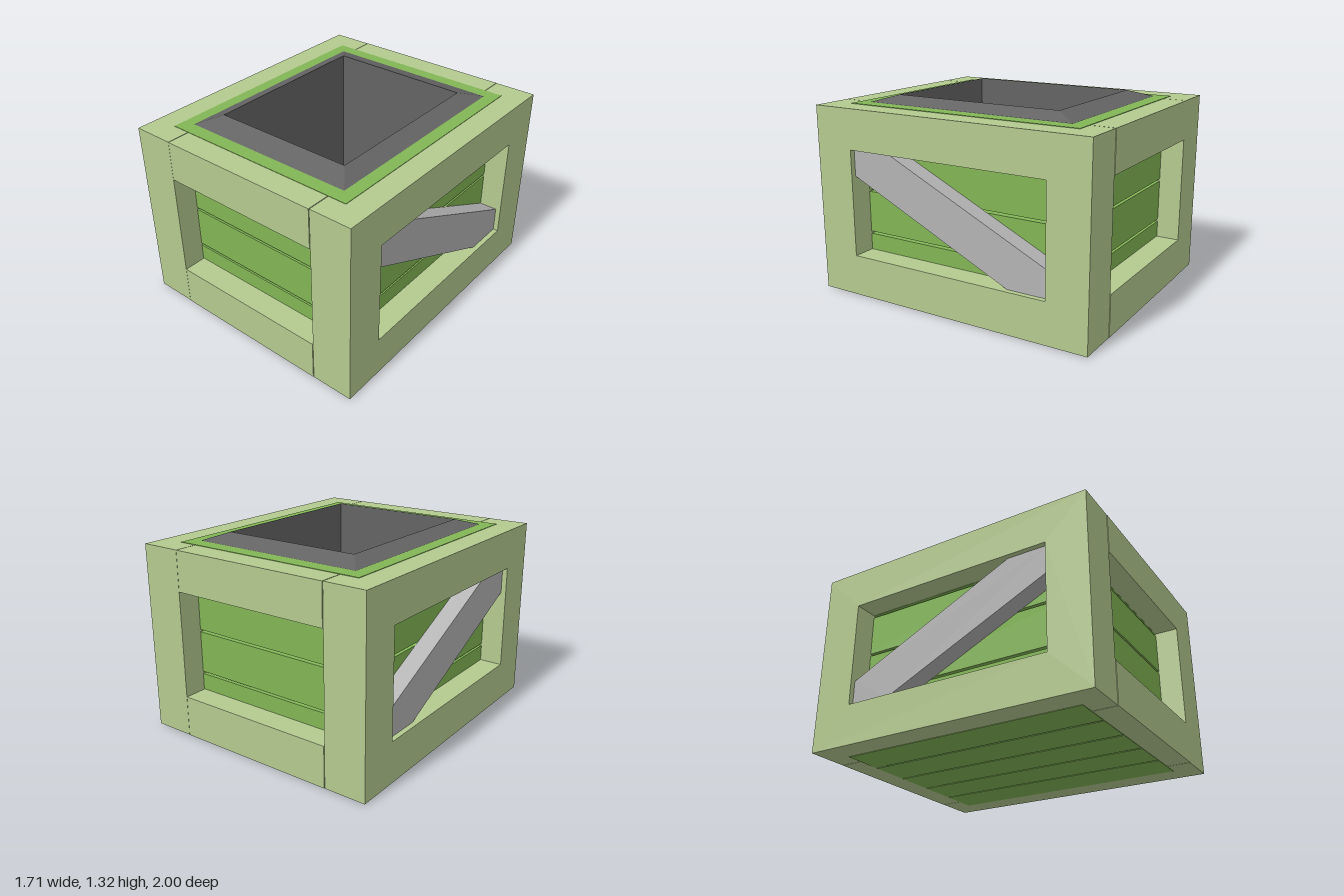
import * as THREE from 'three';

const paint = (color) => new THREE.MeshStandardMaterial({ color, flatShading: true });

// Sweeps a profile of [halfWidth, halfDepth, y] around a rectangle.
function rectangularSweep(profile) {
  const signs = [[1, 1], [1, -1], [-1, -1], [-1, 1]];
  const positions = [];
  for (let p = 0; p < profile.length - 1; p++) {
    for (let i = 0; i < 4; i++) {
      const corner = ([hx, hz, y], s) => [hx * s[0], y, hz * s[1]];
      const s0 = signs[i], s1 = signs[(i + 1) % 4];
      const a = corner(profile[p], s0), b = corner(profile[p], s1);
      const c = corner(profile[p + 1], s1), d = corner(profile[p + 1], s0);
      positions.push(...a, ...b, ...c, ...a, ...c, ...d);
    }
  }
  const geometry = new THREE.BufferGeometry();
  geometry.setAttribute('position', new THREE.Float32BufferAttribute(positions, 3));
  geometry.computeVertexNormals();
  return geometry;
}

export function createModel() {
  const model = new THREE.Group();
  const frameMaterial = paint(0xb4ca8f);
  const plankMaterial = paint(0x82b655);
  const linerMaterial = paint(0x646464);
  const braceMaterial = paint(0xb4b4b4);

  const add = (name, geometry, material, x = 0, y = 0, z = 0) => {
    const mesh = new THREE.Mesh(geometry, material);
    mesh.name = name;
    mesh.position.set(x, y, z);
    model.add(mesh);
    return mesh;
  };

  // Side frames: a thick panel with a rectangular window
  const sideShape = new THREE.Shape([
    [-0.998, 0.003], [0.998, 0.003], [0.998, 1.27], [-0.998, 1.27],
  ].map(([u, v]) => new THREE.Vector2(u, v)));
  sideShape.holes.push(new THREE.Path([
    [-0.72, 0.28], [-0.72, 1.0], [0.72, 1.0], [0.72, 0.28],
  ].map(([u, v]) => new THREE.Vector2(u, v))));
  const sideGeometry = new THREE.ExtrudeGeometry(sideShape, { depth: 0.285, bevelEnabled: false });
  sideGeometry.rotateY(-Math.PI / 2); // u runs along z, depth along -x

  // Diagonal braces, high at the front and low at the back
  const braceShape = new THREE.Shape([
    [0.72, 1.0], [0.44, 1.0], [-0.72, 0.455], [-0.72, 0.28], [-0.44, 0.28], [0.72, 0.82],
  ].map(([u, v]) => new THREE.Vector2(u, v)));
  const braceGeometry = new THREE.ExtrudeGeometry(braceShape, { depth: 0.125, bevelEnabled: false });
  braceGeometry.rotateY(-Math.PI / 2);

  for (const [side, s] of [['left', 1], ['right', -1]]) {
    add(side + 'Frame', sideGeometry, frameMaterial, s > 0 ? 0.855 : -0.57);
    add(side + 'Brace', braceGeometry, braceMaterial, s > 0 ? 0.82 : -0.695);
  }

  // Front and back rails between the side frames
  for (const [end, s] of [['front', 1], ['back', -1]]) {
    add(end + 'BottomRail', new THREE.BoxGeometry(1.132, 0.277, 0.28), frameMaterial, 0, 0.1415, s * 0.86);
    add(end + 'TopRail', new THREE.BoxGeometry(1.132, 0.27, 0.28), frameMaterial, 0, 1.135, s * 0.86);
  }

  // Wall planks wrap around the crate with narrow gaps between courses
  for (const [low, high] of [[0.01, 0.095], [0.11, 0.392], [0.408, 0.688], [0.704, 0.982], [0.998, 1.273]]) {
    add('wallPlanks', rectangularSweep([
      [0.57, 0.70, low], [0.695, 0.84, low], [0.695, 0.84, high], [0.57, 0.70, high], [0.57, 0.70, low],
    ]), plankMaterial);
  }

  // Floor planks run from front to back
  for (let i = -2; i <= 2; i++) {
    add('floorPlank', new THREE.BoxGeometry(0.264, 0.05, 1.68), plankMaterial, i * 0.275, 0.025, 0);
  }

  // Open liner box with a sloped rim
  add('liner', rectangularSweep([
    [0, 0, 0.06], [0.57, 0.70, 0.06], [0.57, 0.70, 1.276], [0.61, 0.75, 1.276],
    [0.49, 0.60, 1.322], [0.49, 0.60, 0.12], [0, 0, 0.12],
  ]), linerMaterial);

  return model;
}
